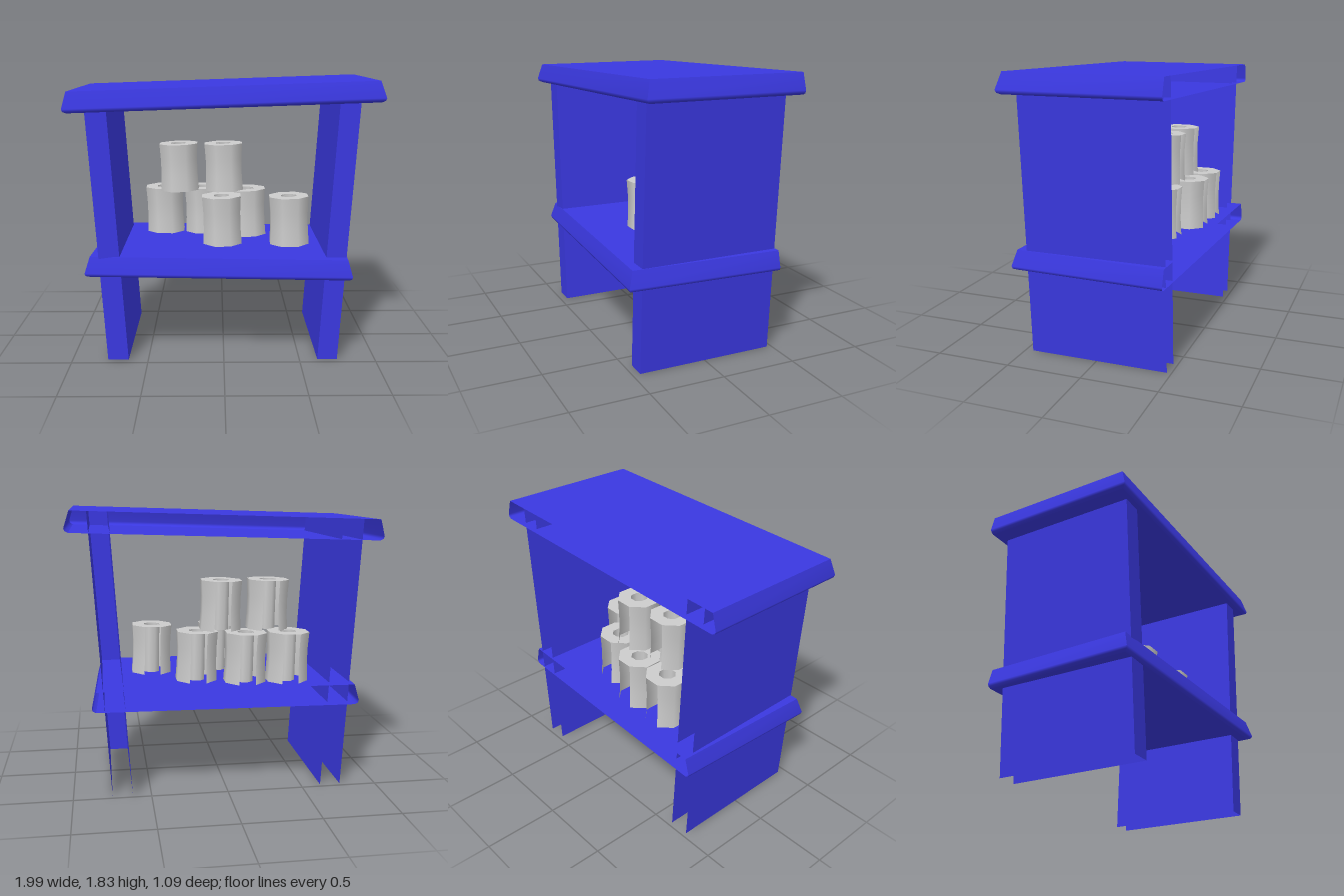
import * as THREE from 'three';

const blue = new THREE.MeshStandardMaterial({ color: 0x3a38e0, side: THREE.DoubleSide });
const grey = new THREE.MeshStandardMaterial({ color: 0xcccccc, side: THREE.DoubleSide });

// Surface through rows of points, rows top to bottom, points left to right seen from outside
function surface(rows) {
  const n = rows[0].length, index = [];
  for (let r = 0; r < rows.length - 1; r++) {
    for (let i = 0; i < n - 1; i++) {
      const a = r * n + i, c = a + n;
      index.push(a, c, a + 1, a + 1, c, c + 1);
    }
  }
  const g = new THREE.BufferGeometry();
  g.setAttribute('position', new THREE.Float32BufferAttribute(rows.flat(2), 3));
  g.setIndex(index);
  g.computeVertexNormals();
  return g;
}

function add(parent, name, geometry, material) {
  const mesh = new THREE.Mesh(geometry, material);
  mesh.name = name;
  parent.add(mesh);
  return mesh;
}

// Board with a rounded lip on the front and ends, open at the back
function makeBoard(name, w) {
  const board = new THREE.Group();
  board.name = name;
  const front = 0.48, back = -0.51;
  const levels = [[0, 0], [-0.105, 0.03], [-0.122, 0.024], [-0.132, 0.004]];
  const [yb, ob] = levels[levels.length - 1];
  add(board, 'topFace', surface([
    [[-w, 0, back], [w, 0, back]], [[-w, 0, front], [w, 0, front]]]), blue);
  add(board, 'bottomFace', surface([
    [[-w - ob, yb, front + ob], [w + ob, yb, front + ob]], [[-w - ob, yb, back], [w + ob, yb, back]]]), blue);
  add(board, 'frontLip', surface(levels.map(([y, o]) =>
    [[-w - o, y, front + o], [w + o, y, front + o]])), blue);
  add(board, 'leftLip', surface(levels.map(([y, o]) =>
    [[w + o, y, front + o], [w + o, y, back]])), blue);
  add(board, 'rightLip', surface(levels.map(([y, o]) =>
    [[-w - o, y, back], [-w - o, y, front + o]])), blue);
  return board;
}

// Slanted upright: front and two sides, open at the back and bottom
function makeUpright(name, x0, x1, lean, y0, y1) {
  const upright = new THREE.Group();
  upright.name = name;
  const front = 0.45, back = -0.47;
  const t0 = x0 + lean, t1 = x1 + lean;
  add(upright, 'frontFace', surface([
    [[t0, y0, front], [t1, y1, front]], [[x0, 0, front], [x1, 0, front]]]), blue);
  add(upright, 'leftFace', surface([
    [[t1, y1, front], [t1, y1, back]], [[x1, 0, front], [x1, 0, back]]]), blue);
  add(upright, 'rightFace', surface([
    [[t0, y0, back], [t0, y0, front]], [[x0, 0, back], [x0, 0, front]]]), blue);
  return upright;
}

// Eight-sided paper roll with a core hole and one open panel at the back
function makeRoll(x, y, z) {
  const roll = new THREE.Group();
  roll.name = 'paperRoll';
  const h = 0.33, R = 0.143, r = 0.056;
  const profile = [[R, 0], [R - 0.007, 0.11], [R - 0.007, 0.22], [R, h]].map(p => new THREE.Vector2(...p));
  add(roll, 'paperWall', new THREE.LatheGeometry(profile, 7, Math.PI * 9 / 8, Math.PI * 7 / 4), grey);
  const top = new THREE.RingGeometry(r, R, 8, 1, Math.PI / 8);
  top.rotateX(-Math.PI / 2).translate(0, h, 0);
  add(roll, 'rollTop', top, grey);
  const core = new THREE.CylinderGeometry(r, r, h, 8, 1, true, Math.PI / 8);
  core.translate(0, h / 2, 0);
  add(roll, 'core', core, grey);
  roll.position.set(x, y, z);
  roll.rotation.z = 0.025;
  return roll;
}

export function createModel() {
  const model = new THREE.Group();
  model.name = 'rollShelf';

  // Tilted top and slightly turned shelf
  const top = makeBoard('topBoard', 0.967);
  top.position.set(-0.003, 1.793, 0);
  top.rotation.z = 0.0337;
  const shelf = makeBoard('shelf', 0.83);
  shelf.position.set(-0.015, 0.7, 0);
  shelf.rotation.set(0, -0.043, -0.005);
  model.add(top, shelf);

  // Splayed uprights, reaching up inside the top board
  model.add(makeUpright('leftUpright', 0.62, 0.75, 0.111, 1.814, 1.819));
  model.add(makeUpright('rightUpright', -0.765, -0.63, -0.108, 1.76, 1.764));

  // Stacked paper rolls: five on the shelf, two on top of them
  const rolls = [
    [-0.415, 0.7, -0.33], [-0.135, 0.7, -0.32], [0.175, 0.7, -0.225],
    [-0.005, 0.7, 0.05], [0.455, 0.7, 0.06],
    [-0.305, 1.03, -0.195], [0.01, 1.03, -0.195],
  ];
  for (const [x, y, z] of rolls) model.add(makeRoll(x, y, z));

  return model;
}
